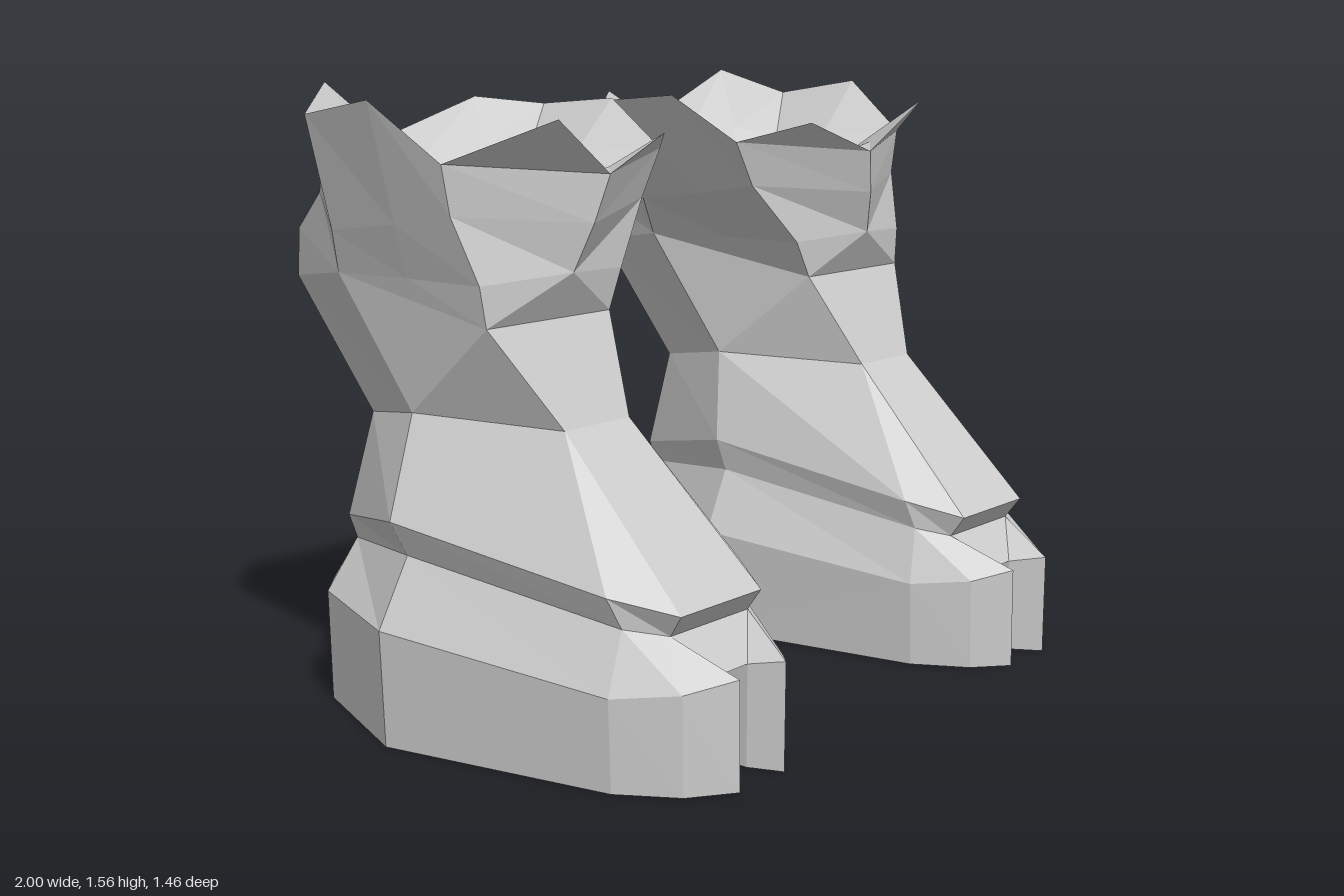
import * as THREE from 'three';

const material = new THREE.MeshStandardMaterial({ color: 0xcccccc, flatShading: true });

// A ring is 8 rows from front to back, each [y, z, outerX, innerX, innerY?, innerZ?].
// With 7 rows the back corner is doubled. The rows become a closed loop of 16 points:
// outer side front to back, then inner side back to front.
function ring(rows) {
  const full = rows.length === 8 ? rows : [...rows.slice(0, 6), rows[5], rows[6]];
  const outer = full.map(([y, z, xo]) => new THREE.Vector3(xo, y, z));
  const inner = full.map(([y, z, , xi, yi = y, zi = z]) => new THREE.Vector3(xi, yi, zi));
  return [...outer, ...inner.reverse()];
}

// Triangles joining successive loops, listed bottom to top for outward faces.
// The inner half uses the opposite diagonal so both halves fold alike.
function loft(loops) {
  const tris = [];
  for (let k = 0; k + 1 < loops.length; k++) {
    const a = loops[k], b = loops[k + 1], n = a.length;
    for (let i = 0; i < n; i++) {
      const j = (i + 1) % n;
      if (i < n / 2) tris.push([a[i], a[j], b[j]], [a[i], b[j], b[i]]);
      else tris.push([a[i], a[j], b[i]], [a[j], b[j], b[i]]);
    }
  }
  return tris;
}

// Fan from the centre of a loop, facing up or down
function cap(loop, up) {
  const c = loop.reduce((s, p) => s.add(p), new THREE.Vector3()).divideScalar(loop.length);
  return loop.map((p, i) => {
    const q = loop[(i + 1) % loop.length];
    return up ? [c, p, q] : [c, q, p];
  });
}

// Mesh from triangles; side -1 mirrors it across x, and collapsed triangles are dropped
function part(name, tris, side) {
  const pos = [];
  for (const [a, b, c] of tris) {
    if (new THREE.Triangle(a, b, c).getArea() < 1e-6) continue;
    for (const p of side > 0 ? [a, b, c] : [a, c, b]) pos.push(p.x * side, p.y, p.z);
  }
  const g = new THREE.BufferGeometry();
  g.setAttribute('position', new THREE.Float32BufferAttribute(pos, 3));
  g.computeVertexNormals();
  const mesh = new THREE.Mesh(g, material);
  mesh.name = name;
  return mesh;
}

// Cloven hoof: notch, tip, toe, front side, widest point, heel side, heel point, heel notch
const hoofTop = ring([
  [0.25, 0.64, 0.62, 0.535], [0.265, 0.725, 0.67, 0.5], [0.24, 0.65, 0.78, 0.41],
  [0.225, 0.51, 0.87, 0.33], [0.29, -0.1, 1.0, 0.22], [0.285, -0.47, 0.845, 0.355],
  [0.28, -0.565, 0.745, 0.46], [0.25, -0.38, 0.62, 0.535],
]);
const bandBottom = ring([
  [0.345, 0.565, 0.585, 0.585], [0.345, 0.565, 0.72, 0.44], [0.345, 0.565, 0.72, 0.44],
  [0.365, 0.49, 0.8, 0.38], [0.455, -0.1, 0.905, 0.3], [0.4, -0.485, 0.73, 0.45],
  [0.4, -0.485, 0.59, 0.59],
]);
const bandTop = ring([
  [0.4, 0.605, 0.585, 0.585], [0.4, 0.605, 0.73, 0.44], [0.4, 0.605, 0.73, 0.44],
  [0.44, 0.47, 0.83, 0.36], [0.54, -0.12, 0.94, 0.285], [0.455, -0.515, 0.73, 0.45],
  [0.455, -0.515, 0.59, 0.59],
]);

// Ankle: front corners gathered for the instep, side corners gathered for the shaft
const ankleRows = [
  [0.77, 0.235, 0.6, 0.6], [0.77, 0.235, 0.71, 0.485], [0.77, 0.235, 0.71, 0.485],
  [0.77, 0.235, 0.71, 0.485], [0.78, -0.165, 0.82, 0.35], [0.73, -0.445, 0.7, 0.46],
  [0.73, -0.45, 0.58, 0.58],
];
const ankle = ring(ankleRows);
const ankleUpper = ring(ankleRows.map((row, i) => (i === 3 ? ankleRows[4] : row)));

const shin = ring([
  [1.01, 0.105, 0.62, 0.62], [1.01, 0.105, 0.83, 0.41], [1.01, 0.105, 0.83, 0.41],
  [1.01, 0.105, 0.83, 0.41], [1.105, -0.385, 0.85, 0.32], [1.055, -0.73, 0.695, 0.455, 1.055, -0.7],
  [1.055, -0.72, 0.58, 0.58],
]);
const calf = ring([
  [1.125, 0.165, 0.6, 0.6], [1.125, 0.165, 0.6, 0.6], [1.11, 0.1, 0.845, 0.36],
  [1.11, -0.14, 0.85, 0.34], [1.105, -0.385, 0.85, 0.32], [1.18, -0.72, 0.695, 0.455, 1.18, -0.69],
  [1.18, -0.71, 0.58, 0.58],
]);
const knee = ring([
  [1.24, 0.2, 0.565, 0.565], [1.24, 0.2, 0.565, 0.565], [1.27, 0.05, 0.885, 0.225],
  [1.24, -0.14, 0.885, 0.24], [1.21, -0.375, 0.875, 0.265], [1.285, -0.555, 0.76, 0.36],
  [1.285, -0.57, 0.54, 0.54],
]);

// Rim with raised peaks; the collar is the same line without the front peaks
const rimRows = [
  [1.355, 0.22, 0.53, 0.53], [1.49, 0.25, 0.735, 0.3, 1.44, 0.19], [1.39, 0.05, 0.91, 0.155],
  [1.53, -0.145, 0.955, 0.12, 1.51], [1.49, -0.39, 0.935, 0.12], [1.56, -0.505, 0.775, 0.265, 1.51],
  [1.41, -0.58, 0.52, 0.52],
];
const rim = ring(rimRows);
const collar = ring(rimRows.map((row, i) => (i === 1 ? rimRows[0] : row)));

// Copy of the rim shrunk toward the leg axis at a given height
const inset = (f, y) => rim.map(p => new THREE.Vector3(
  0.54 + (p.x - 0.54) * f, y + (p.y - 1.45) * 0.4 * f, -0.16 + (p.z + 0.16) * f));

function boot(side) {
  const g = new THREE.Group();
  g.name = side > 0 ? 'leftBoot' : 'rightBoot';

  // two toes, slightly narrower at the sole, with the open groove between them
  const toe = (name, top) => {
    const sole = top.map(p => new THREE.Vector3(0.6 + (p.x - 0.6) * 0.97, 0, p.z));
    g.add(part(name, [...loft([sole, top]), ...cap(sole, false)], side));
  };
  toe('outerToe', hoofTop.slice(0, 8));
  toe('innerToe', hoofTop.slice(8));
  const groove = [hoofTop[0], hoofTop[7], hoofTop[8], hoofTop[15]];
  g.add(part('grooveRoof', cap(groove, false), side));

  // hoof crown, ankle band, instep, and shaft flaring to the rim
  g.add(part('hoofCrown', loft([hoofTop, bandBottom]), side));
  g.add(part('ankleBand', loft([bandBottom, bandTop]), side));
  g.add(part('instep', loft([bandTop, ankle]), side));
  g.add(part('shaft', loft([ankleUpper, shin, calf, knee, collar, rim]), side));

  // hollow inside the top, tapering to a small floor
  const floor = inset(0.35, 1.17);
  g.add(part('lining', [...loft([rim, inset(0.68, 1.36), floor]), ...cap(floor, true)], side));
  return g;
}

export function createModel() {
  const model = new THREE.Group();
  model.name = 'hoofBoots';
  model.add(boot(1), boot(-1));
  return model;
}
